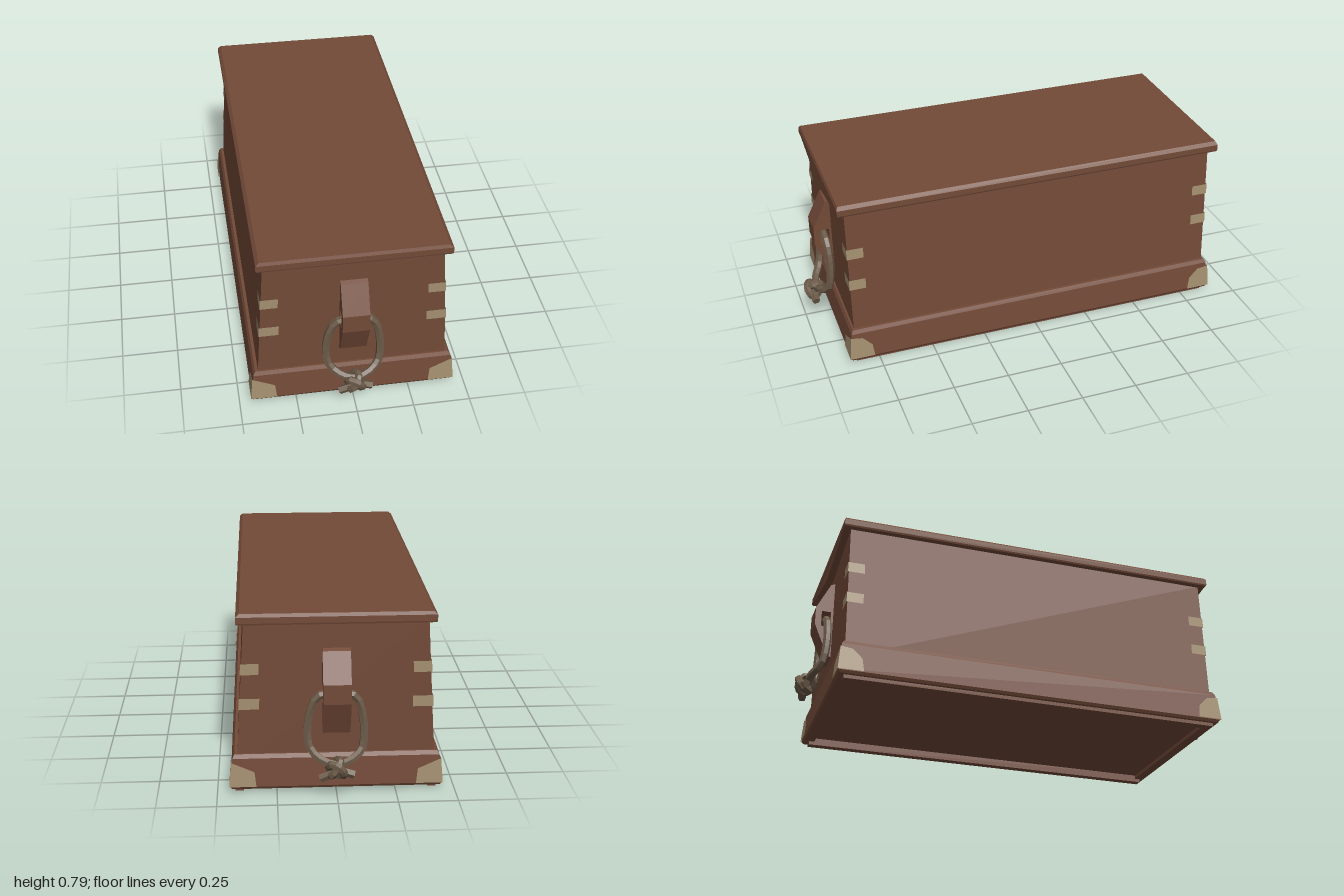
import * as THREE from 'three';

const wood = new THREE.MeshStandardMaterial({ color: 0x734a38 });
wood.name = 'brown wood';
const brass = new THREE.MeshStandardMaterial({ color: 0xa38f6f, side: THREE.DoubleSide });
brass.name = 'pale brass';
const rope = new THREE.MeshStandardMaterial({ color: 0x6c5b49 });
rope.name = 'rope';

const V = (x, y, z) => new THREE.Vector3(x, y, z);

function mesh(geometry, material, name) {
  const g = geometry.index ? geometry.toNonIndexed() : geometry;
  g.computeVertexNormals(); // flat faces
  const m = new THREE.Mesh(g, material);
  m.name = name;
  return m;
}

function fromTriangles(points) {
  return new THREE.BufferGeometry().setFromPoints(points);
}

// Stacked rectangles [y, halfX, halfZ], closed at both ends
function loft(rings) {
  const corners = rings.map(([y, x, z]) => [V(x, y, z), V(x, y, -z), V(-x, y, -z), V(-x, y, z)]);
  const tris = [];
  for (let r = 0; r < corners.length - 1; r++) {
    const a = corners[r], b = corners[r + 1];
    for (let i = 0; i < 4; i++) {
      const j = (i + 1) % 4;
      tris.push(a[i], a[j], b[j], a[i], b[j], b[i]);
    }
  }
  const [p, q, s, t] = corners[0];
  tris.push(p, s, q, p, t, s);
  const [d, e, f, g] = corners[corners.length - 1];
  tris.push(d, e, f, d, f, g);
  return fromTriangles(tris);
}

// Thin convex plate as a triangle fan
function plate(points, name) {
  const tris = [];
  for (let i = 1; i < points.length - 1; i++) tris.push(points[0], points[i], points[i + 1]);
  return mesh(fromTriangles(tris), brass, name);
}

function extrude(points, depth, hole) {
  const shape = new THREE.Shape(points.map(([x, y]) => new THREE.Vector2(x, y)));
  if (hole) shape.holes.push(new THREE.Path(hole.map(([x, y]) => new THREE.Vector2(x, y))));
  const g = new THREE.ExtrudeGeometry(shape, { depth, bevelEnabled: false });
  return g.translate(0, 0, -depth / 2);
}

function strand(points, segments, radius, closed, name) {
  const curve = new THREE.CatmullRomCurve3(points.map((p) => V(...p)), closed);
  return mesh(new THREE.TubeGeometry(curve, segments, radius, 6, closed), rope, name);
}

// Capped rope end between two points
function ropeEnd(from, to, radius, name) {
  const a = V(...from), b = V(...to);
  const m = mesh(new THREE.CylinderGeometry(radius, radius * 0.85, a.distanceTo(b), 5), rope, name);
  m.position.copy(a).add(b).multiplyScalar(0.5);
  m.quaternion.setFromUnitVectors(V(0, 1, 0), b.sub(a).normalize());
  return m;
}

function createHandle() {
  const handle = new THREE.Group();
  handle.name = 'ropeHandle';

  // Angular bracket, profile drawn in (z, y) with a hole for the rope
  const profile = [[0.85, 0.258], [0.872, 0.265], [0.936, 0.415], [0.936, 0.5], [0.874, 0.625], [0.85, 0.635]];
  const hole = [[0.866, 0.41], [0.866, 0.485], [0.908, 0.485], [0.908, 0.41]];
  const bracket = mesh(extrude(profile, 0.116, hole), wood, 'handleBracket');
  bracket.rotation.y = -Math.PI / 2;
  handle.add(bracket);

  // Rope loop
  handle.add(strand([
    [0, 0.447, 0.887], [-0.07, 0.44, 0.887], [-0.1, 0.4, 0.884], [-0.122, 0.27, 0.886],
    [-0.106, 0.2, 0.9], [-0.055, 0.163, 0.93], [0, 0.15, 0.94], [0.06, 0.168, 0.93],
    [0.104, 0.2, 0.9], [0.114, 0.28, 0.886], [0.096, 0.4, 0.884], [0.068, 0.44, 0.887],
  ], 26, 0.018, true, 'ropeLoop'));

  // Knot with two loose ends
  handle.add(strand([
    [-0.035, 0.14, 0.945], [-0.02, 0.165, 0.972], [0.012, 0.15, 0.982],
    [0.026, 0.115, 0.965], [0.005, 0.105, 0.94], [-0.02, 0.12, 0.93],
  ], 12, 0.018, true, 'knotCoil'));
  handle.add(strand([
    [0.005, 0.165, 0.92], [0.012, 0.17, 0.955], [-0.005, 0.14, 0.98],
    [-0.03, 0.11, 0.965], [-0.03, 0.115, 0.93], [-0.01, 0.14, 0.91],
  ], 12, 0.017, true, 'knotWrap'));
  handle.add(ropeEnd([0.01, 0.135, 0.965], [-0.07, 0.095, 0.95], 0.019, 'ropeEndOne'));
  handle.add(ropeEnd([-0.01, 0.14, 0.96], [0.068, 0.112, 0.955], 0.019, 'ropeEndTwo'));
  return handle;
}

export function createModel() {
  const chest = new THREE.Group();
  chest.name = 'chest';

  // Tapered body and flared base with a recessed underside
  chest.add(mesh(loft([[0.1, 0.417, 0.855], [0.75, 0.378, 0.855]]), wood, 'body'));
  chest.add(mesh(loft([
    [0.035, 0.39, 0.83], [0.018, 0.39, 0.83], [0.018, 0.438, 0.875], [0.03, 0.445, 0.882],
    [0.155, 0.435, 0.872], [0.172, 0.426, 0.863],
  ]), wood, 'base'));

  // Lid with a pointed drop at each end
  chest.add(mesh(loft([
    [0.745, 0.405, 0.886], [0.752, 0.408, 0.888], [0.778, 0.408, 0.888], [0.792, 0.393, 0.882],
  ]), wood, 'lid'));
  for (const s of [1, -1]) {
    const drop = mesh(extrude([[-0.378, 0.746], [0, 0.68], [0.378, 0.746]], 0.036), wood, 'lidDrop');
    drop.position.z = s * 0.868;
    chest.add(drop);

    const rail = mesh(new THREE.BoxGeometry(0.036, 0.036, 1.71), wood, 'footRail');
    rail.position.set(s * 0.407, 0.02, 0);
    chest.add(rail);
  }

  // Brass straps and base guards wrapped round the four corners
  const bodyX = (y) => 0.4172 - 0.06 * (y - 0.1) + 0.004;
  const baseX = (y) => 0.445 - 0.08 * (y - 0.03) + 0.005;
  const baseZ = (y) => baseX(y) + 0.437;
  for (const sx of [1, -1]) {
    for (const sz of [1, -1]) {
      const P = (x, y, z) => V(sx * x, y, sz * z);
      for (const [low, high] of [[0.37, 0.418], [0.522, 0.57]]) {
        const z = 0.859, a = bodyX(low), b = bodyX(high);
        chest.add(plate([P(0.32, low, z), P(a, low, z), P(b, high, z), P(0.317, high, z)], 'endStrap'));
        chest.add(plate([P(a, low, z), P(a, low, 0.785), P(b, high, 0.785), P(b, high, z)], 'sideStrap'));
      }
      const end = (x, y) => P(x, y, baseZ(y));
      const side = (z, y) => P(baseX(y), y, z);
      chest.add(plate([
        end(baseX(0.032), 0.032), end(baseX(0.14), 0.14), end(0.343, 0.097), end(0.336, 0.032),
      ], 'endGuard'));
      chest.add(plate([
        side(baseZ(0.032), 0.032), side(baseZ(0.14), 0.14), side(0.825, 0.132),
        side(0.783, 0.09), side(0.775, 0.032),
      ], 'sideGuard'));
    }
  }

  // A rope handle on each end
  const front = createHandle();
  const back = createHandle();
  back.rotation.y = Math.PI;
  chest.add(front, back);
  return chest;
}
